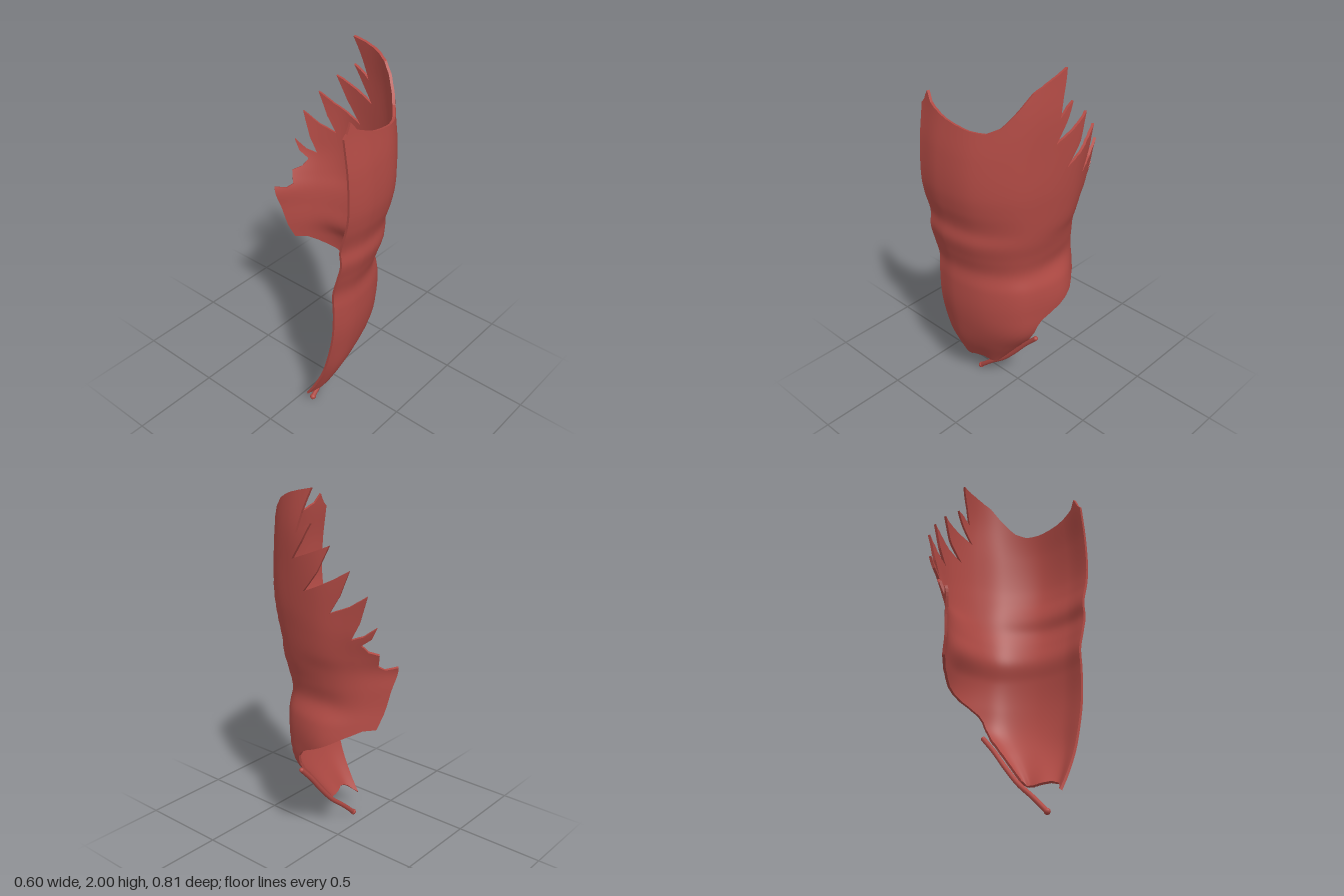
import * as THREE from 'three';

const red = new THREE.MeshStandardMaterial({ color: 0xb04a44, side: THREE.DoubleSide });
red.name = 'muscle red';

// Per height: [y, front depth, then half-width x at z = 0.08, -0.10, -0.25, -0.40]
const LEVELS = [
  [0.10, 0.12, -0.10, -0.10, -0.12, -0.2],
  [0.20, 0.18, -0.03, -0.03, -0.06, -0.1],
  [0.35, 0.25, 0.09, 0.09, 0.05, 0.0],
  [0.50, 0.29, 0.205, 0.21, 0.15, 0.02],
  [0.65, 0.315, 0.23, 0.255, 0.18, 0.03],
  [0.80, 0.32, 0.225, 0.24, 0.165, 0.01],
  [0.90, 0.315, 0.195, 0.2, 0.15, 0.0],
  [1.00, 0.34, 0.21, 0.215, 0.155, 0.0],
  [1.10, 0.365, 0.235, 0.235, 0.165, 0.0],
  [1.18, 0.36, 0.25, 0.26, 0.19, 0.05],
  [1.30, 0.39, 0.265, 0.28, 0.225, 0.13],
  [1.40, 0.405, 0.275, 0.29, 0.24, 0.16],
  [1.60, 0.4, 0.28, 0.3, 0.26, 0.2],
  [1.80, 0.37, 0.28, 0.29, 0.255, 0.2],
  [2.00, 0.35, 0.26, 0.255, 0.22, 0.18],
];
const levels = new THREE.CubicInterpolant(
  LEVELS.map((l) => l[0]), LEVELS.flatMap((l) => l.slice(1)), 5);
const STEPS = [0, 1, 2, 3, 4, 5, 6, 7];
const WIDTH = 0.16; // approximate arc length of one step of u

// Point on the body wall: u runs from the midline around the flank to the back
function wall(u, y) {
  const [front, x4, x5, x6, x7] = levels.evaluate(THREE.MathUtils.clamp(y, 0.1, 2));
  const across = (f) => -0.3 + f * (x4 + 0.3);
  const section = new THREE.CubicInterpolant(STEPS, [
    -0.3, front - 0.025,
    across(0.27), front,
    across(0.6), front - 0.03,
    across(0.88), (front + 0.08) / 2,
    x4, 0.08,
    x5, -0.1,
    x6, -0.25,
    x7, -0.4,
  ], 2);
  const [x, z] = section.evaluate(THREE.MathUtils.clamp(u, 0, 7));
  return new THREE.Vector3(x, y, z);
}

function wallNormal(u, y) {
  const e = 0.02;
  const u0 = Math.max(u - e, 0), u1 = Math.min(u + e, 7);
  const y0 = Math.max(y - e, 0.1), y1 = Math.min(y + e, 2);
  const du = wall(u1, y).sub(wall(u0, y));
  const dy = wall(u, y1).sub(wall(u, y0));
  return du.cross(dy).normalize();
}

// Fine fibre ripple: upright in front, slanting up and back on the flank
function ripple(u, y) {
  const slant = THREE.MathUtils.smoothstep(u, 1.6, 2.4) * 0.55;
  const c = u * WIDTH - y * slant;
  return 0.0016 * Math.sin(c * 130 + 2 * Math.sin(y * 7)) * Math.sin(y * 9 + u * 5);
}

function sheetPoint(u, y, depth) {
  return wall(u, y).addScaledVector(wallNormal(u, y), ripple(u, y) - depth);
}

// Step u on the flank for a given depth z
const uz = (z) => (z > -0.1 ? 4 + (0.08 - z) / 0.18 : 5 + (-0.1 - z) / 0.15);

// Outline of the sheet in (u, y), counterclockwise
function outline() {
  const lower = [[0, 0.11], [0.25, 0.125], [0.7, 0.155], [1.5, 0.175], [2.6, 0.165],
    [3.4, 0.168], [3.85, 0.19], [3.88, 0.35], [3.88, 0.5]];
  // Crest edge, then the pointed slips from low to high, as (z, y)
  const flank = [[0.085, 0.56], [0.06, 0.59], [0, 0.63], [-0.1, 0.68], [-0.2, 0.74],
    [-0.28, 0.785], [-0.33, 0.79], [-0.35, 0.87], [-0.37, 0.98], [-0.4, 1.12], [-0.355, 1.11],
    [-0.335, 1.13], [-0.355, 1.2], [-0.32, 1.22], [-0.3, 1.26], [-0.35, 1.3], [-0.38, 1.36],
    [-0.32, 1.31], [-0.265, 1.29], [-0.31, 1.38], [-0.355, 1.52], [-0.27, 1.46],
    [-0.175, 1.42], [-0.23, 1.51], [-0.28, 1.64], [-0.2, 1.59], [-0.03, 1.51], [-0.12, 1.62],
    [-0.18, 1.75], [-0.09, 1.71], [0.045, 1.655], [-0.02, 1.75], [-0.07, 1.84],
    [-0.03, 1.82], [0.02, 1.78], [-0.01, 1.88], [-0.055, 2.0]];
  const top = [[4.4, 1.985], [4, 1.965], [3.5, 1.93], [3.2, 1.885], [2.9, 1.83], [2.6, 1.77],
    [2.3, 1.742], [1.9, 1.745], [1.6, 1.755], [1.2, 1.77], [0.8, 1.795], [0.5, 1.815],
    [0.28, 1.86], [0.12, 1.81], [0, 1.79]];
  return [...lower, ...flank.map(([z, y]) => [uz(z), y]), ...top]
    .map(([u, y]) => new THREE.Vector2(u, y));
}

const MAX_EDGE = 0.018;
const span = (a, b) => Math.hypot((a.x - b.x) * WIDTH, a.y - b.y);
const middle = (a, b) => new THREE.Vector2((a.x + b.x) / 2, (a.y + b.y) / 2);

// Halve the longest edge until every edge is short
function splitTriangle(a, b, c, out) {
  const ab = span(a, b), bc = span(b, c), ca = span(c, a);
  const longest = Math.max(ab, bc, ca);
  if (longest < MAX_EDGE) return out.push(a, b, c);
  if (bc === longest) return splitTriangle(b, c, a, out);
  if (ca === longest) return splitTriangle(c, a, b, out);
  const m = middle(a, b);
  splitTriangle(a, m, c, out);
  splitTriangle(m, b, c, out);
}

function splitEdge(a, b, out) {
  if (span(a, b) < MAX_EDGE) return out.push([a, b]);
  const m = middle(a, b);
  splitEdge(a, m, out);
  splitEdge(m, b, out);
}

function meshFrom(name, points, normals) {
  const geometry = new THREE.BufferGeometry().setFromPoints(points);
  if (normals) {
    geometry.setAttribute('normal',
      new THREE.Float32BufferAttribute(normals.flatMap((n) => n.toArray()), 3));
  } else geometry.computeVertexNormals();
  const mesh = new THREE.Mesh(geometry, red);
  mesh.name = name;
  return mesh;
}

// One face of the sheet, smooth shaded, wound outward or inward
function sheetFace(name, flat, depth, inward) {
  const points = [], normals = [];
  for (let i = 0; i < flat.length; i += 3) {
    for (const k of inward ? [0, 2, 1] : [0, 1, 2]) {
      const { x: u, y } = flat[i + k];
      points.push(sheetPoint(u, y, depth));
      const n = wallNormal(u, y);
      normals.push(inward ? n.negate() : n);
    }
  }
  return meshFrom(name, points, normals);
}

function abdominalWall() {
  const thickness = 0.014;
  const contour = outline();
  const flat = [];
  for (const [i, j, k] of THREE.ShapeUtils.triangulateShape(contour, [])) {
    const a = contour[i], b = contour[j], c = contour[k];
    const turn = (b.x - a.x) * (c.y - a.y) - (b.y - a.y) * (c.x - a.x);
    if (turn > 0) splitTriangle(a, b, c, flat);
    else splitTriangle(a, c, b, flat);
  }
  // Rim joining the two faces
  const edges = [], rim = [];
  contour.forEach((p, i) => splitEdge(p, contour[(i + 1) % contour.length], edges));
  for (const [a, b] of edges) {
    const [a0, b0] = [a, b].map((p) => sheetPoint(p.x, p.y, 0));
    const [a1, b1] = [a, b].map((p) => sheetPoint(p.x, p.y, thickness));
    rim.push(a0, a1, b1, a0, b1, b0);
  }
  const group = new THREE.Group();
  group.name = 'abdominalWall';
  group.add(sheetFace('outerFace', flat, 0, false),
    sheetFace('innerFace', flat, thickness, true), meshFrom('rim', rim));
  return group;
}

// Rounded cord below the sheet
function groinLigament() {
  const path = new THREE.CatmullRomCurve3([[-0.228, 0.018, 0.075], [-0.14, 0.1, 0.075],
    [-0.04, 0.185, 0.078], [0.05, 0.285, 0.08], [0.13, 0.385, 0.08], [0.208, 0.47, 0.08],
  ].map((p) => new THREE.Vector3(...p)));
  const group = new THREE.Group();
  group.name = 'groinLigament';
  const cord = new THREE.Mesh(new THREE.TubeGeometry(path, 40, 0.013, 10), red);
  cord.name = 'cord';
  group.add(cord);
  for (const [t, r] of [[0, 0.017], [1, 0.0135]]) {
    const end = new THREE.Mesh(new THREE.SphereGeometry(r, 12, 8), red);
    end.name = 'cordEnd';
    end.position.copy(path.getPoint(t));
    group.add(end);
  }
  return group;
}

export function createModel() {
  const model = new THREE.Group();
  model.name = 'abdominalMuscle';
  model.add(abdominalWall(), groinLigament());
  return model;
}
